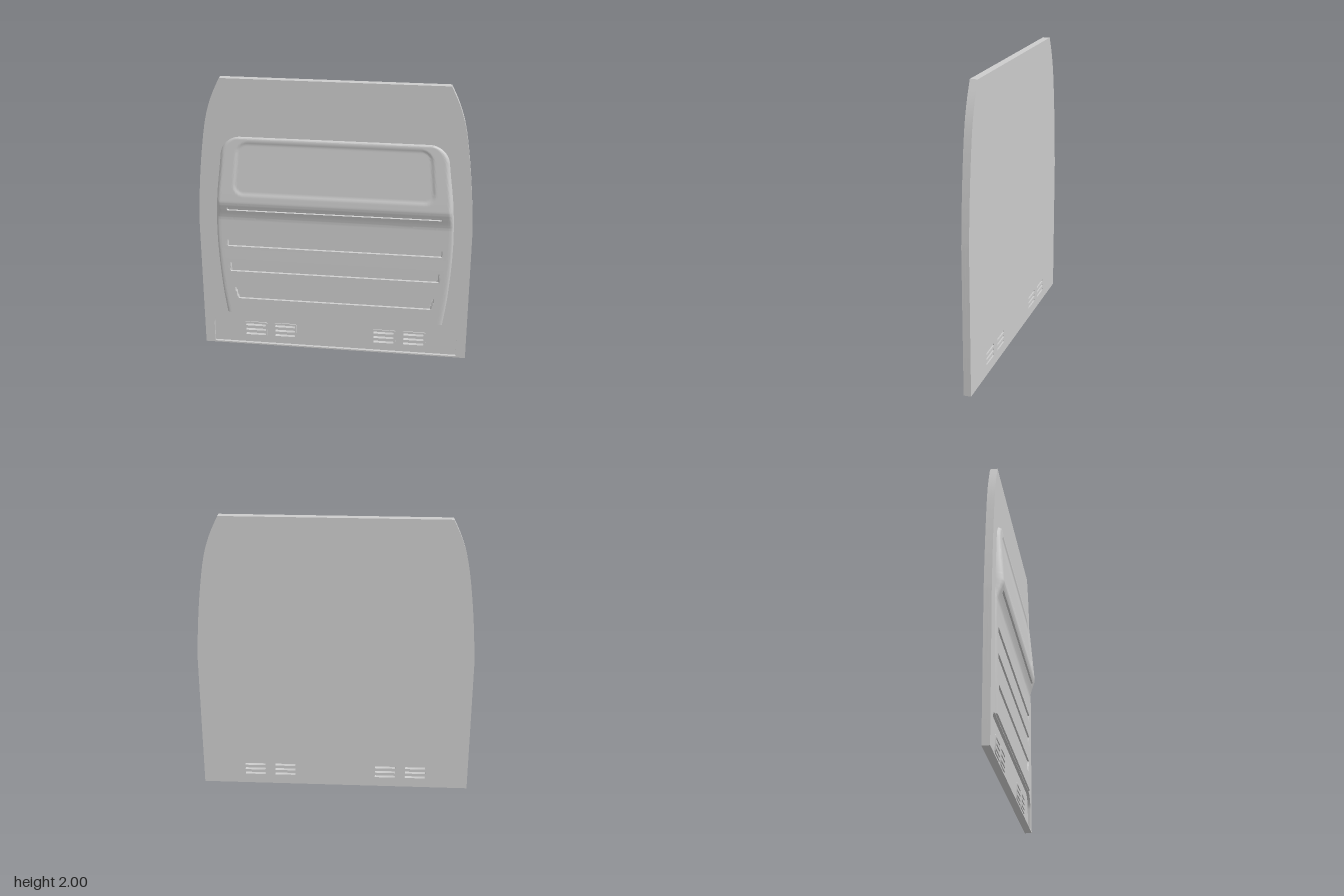
import * as THREE from 'three';
import { toCreasedNormals } from 'three/addons/utils/BufferGeometryUtils.js';

const clamp = THREE.MathUtils.clamp, smooth = THREE.MathUtils.smoothstep;
const material = new THREE.MeshStandardMaterial({ color: 0xcccccc, side: THREE.DoubleSide });

// Piecewise linear lookup of b over a in [[a, b], ...]
function lookup(points, a) {
  let i = 0;
  while (i < points.length - 2 && a > points[i + 1][0]) i++;
  const [p, q] = [points[i], points[i + 1]];
  return THREE.MathUtils.lerp(p[1], q[1], clamp((a - p[0]) / (q[0] - p[0]), 0, 1));
}

// Smooth curve resampled to [a, b] pairs
function smoothPoints(points, n) {
  const curve = new THREE.SplineCurve(points.map(p => new THREE.Vector2(...p)));
  return curve.getPoints(n).map(p => [p.x, p.y]);
}

function roundedRect(path, x0, y0, x1, y1, rBottom, rTop) {
  path.moveTo(x0 + rBottom, y0);
  path.lineTo(x1 - rBottom, y0);
  if (rBottom) path.absarc(x1 - rBottom, y0 + rBottom, rBottom, -Math.PI / 2, 0);
  path.lineTo(x1, y1 - rTop);
  path.absarc(x1 - rTop, y1 - rTop, rTop, 0, Math.PI / 2);
  path.lineTo(x0 + rTop, y1);
  path.absarc(x0 + rTop, y1 - rTop, rTop, Math.PI / 2, Math.PI);
  path.lineTo(x0, y0 + rBottom);
  if (rBottom) path.absarc(x0 + rBottom, y0 + rBottom, rBottom, Math.PI, Math.PI * 1.5);
  return path;
}

function extruded(name, shape, z0, z1) {
  const geometry = new THREE.ExtrudeGeometry(shape, { depth: z1 - z0, bevelEnabled: false, curveSegments: 8 });
  geometry.translate(0, 0, z0);
  const mesh = new THREE.Mesh(toCreasedNormals(geometry, 0.5), material);
  mesh.name = name;
  return mesh;
}

// Outline of the whole wall: straight lower sides curving in to a narrower top
function wallShape() {
  const side = smoothPoints([[1.0, 0.945], [1.25, 0.927], [1.5, 0.9], [1.72, 0.865], [1.87, 0.82], [2, 0.76]], 20);
  const right = [[0, 0.945], ...side].map(([y, x]) => new THREE.Vector2(x, y));
  const left = right.map(p => new THREE.Vector2(-p.x, p.y)).reverse();
  return new THREE.Shape([...right, ...left]);
}

// Vent positions and slots
const vents = [-0.575, -0.36, 0.36, 0.575].map(x => x - Math.sign(x) * 0.002);
const slotRows = [0.08, 0.117, 0.154];
function slots(x) {
  return slotRows.map(y => roundedRect(new THREE.Path(), x - 0.073, y - 0.008, x + 0.073, y + 0.008, 0.004, 0.004));
}

// Raised panel: half width and height over y
const BOTTOM = 0.26, TOP = 1.6, CORNER = 0.12;
const widths = smoothPoints([[0.26, 0.77], [0.5, 0.80], [0.85, 0.82], [1.15, 0.81], [1.4, 0.78], [1.6, 0.755]], 40);
const heights = smoothPoints([[0.26, 0.012], [0.6, 0.012], [0.96, 0.012], [1.02, 0.016], [1.09, 0.038],
  [1.13, 0.05], [1.17, 0.049], [1.3, 0.039], [1.6, 0.015]], 90);

function halfWidth(y) {
  const k = Math.max(0, y - (TOP - CORNER));
  return lookup(widths, y) - CORNER + Math.sqrt(Math.max(0, CORNER * CORNER - k * k));
}

// Pressed-in areas: bottom, top, half width at bottom and top, corner radius, wall width, depth
const grooves = [
  [0.38, 0.47, 0.685, 0.71, 0.008, 0.004, 0.011],
  [0.595, 0.665, 0.735, 0.735, 0.008, 0.004, 0.011],
  [0.79, 0.84, 0.75, 0.75, 0.008, 0.004, 0.011],
  [1.072, 1.098, 0.735, 0.735, 0.008, 0.004, 0.011],
];
const windowPress = [1.185, 1.575, 0.70, 0.662, 0.085, 0.028, 0.008];

function pressDepth([y0, y1, w0, w1, r, wall, depth], x, y) {
  const w = THREE.MathUtils.lerp(w0, w1, clamp((y - y0) / (y1 - y0), 0, 1));
  const qx = Math.abs(x) - w + r, qy = Math.abs(y - (y0 + y1) / 2) - (y1 - y0) / 2 + r;
  const d = Math.hypot(Math.max(qx, 0), Math.max(qy, 0)) + Math.min(Math.max(qx, qy), 0) - r;
  return depth * smooth(-d, 0, wall);
}

function panelHeight(x, y) {
  const t = clamp(Math.min((halfWidth(y) - Math.abs(x)) / 0.03, (TOP - y) / 0.01, (y - BOTTOM) / 0.003), 0, 1);
  let z = lookup(heights, y) * Math.sqrt(1 - (1 - t) ** 2);
  for (const press of [...grooves, windowPress]) z -= pressDepth(press, x, y);
  return Math.max(z, 0);
}

// Skin of the raised panel as a grid with extra rows at the groove edges
function raisedPanel() {
  let rows = [BOTTOM, BOTTOM + 0.003, TOP - 0.006, TOP - 0.003, TOP - 0.001, TOP];
  for (let y = BOTTOM + 0.01; y < TOP - 0.008; y += 0.01) rows.push(y);
  for (const [y0, y1, , , , wall] of grooves) {
    rows = rows.filter(y => Math.abs(y - y0) > 0.005 && Math.abs(y - y1) > 0.005);
    rows.push(y0, y0 + wall, y1 - wall, y1);
  }
  rows.sort((a, b) => a - b);
  const half = [0.2, 0.45];
  for (let f = 0.66; f < 0.9999; f += 0.0085) half.push(f);
  half.push(1);
  const columns = [...half.map(f => -f).reverse(), 0, ...half];

  const positions = [], index = [], n = columns.length;
  rows.forEach((y, i) => columns.forEach((f, j) => {
    const x = f * halfWidth(y);
    positions.push(x, y, panelHeight(x, y));
    if (i && j) {
      const d = i * n + j, c = d - 1, b = d - n, a = b - 1;
      index.push(a, b, c, b, d, c);
    }
  }));
  const geometry = new THREE.BufferGeometry();
  geometry.setAttribute('position', new THREE.Float32BufferAttribute(positions, 3));
  geometry.setIndex(index);
  const mesh = new THREE.Mesh(toCreasedNormals(geometry, 0.6), material);
  mesh.name = 'raisedPanel';
  return mesh;
}

export function createModel() {
  const group = new THREE.Group();
  group.name = 'partitionWall';

  // Back sheet, pierced by the vent slots
  const back = wallShape();
  vents.forEach(x => back.holes.push(...slots(x)));
  group.add(extruded('backSheet', back, -0.05, -0.02));

  // Front sheet with the recess along the foot
  const front = wallShape();
  front.holes.push(roundedRect(new THREE.Path(), -0.877, 0.01, 0.877, 0.256, 0, 0.1));
  group.add(extruded('frontSheet', front, -0.02, 0));

  group.add(raisedPanel());

  // Vent plates in the recess
  for (const x of vents) {
    const plate = roundedRect(new THREE.Shape(), x - 0.085, 0.057, x + 0.085, 0.177, 0.015, 0.015);
    plate.holes.push(...slots(x));
    group.add(extruded('ventPlate', plate, -0.02, -0.013));
  }
  return group;
}
